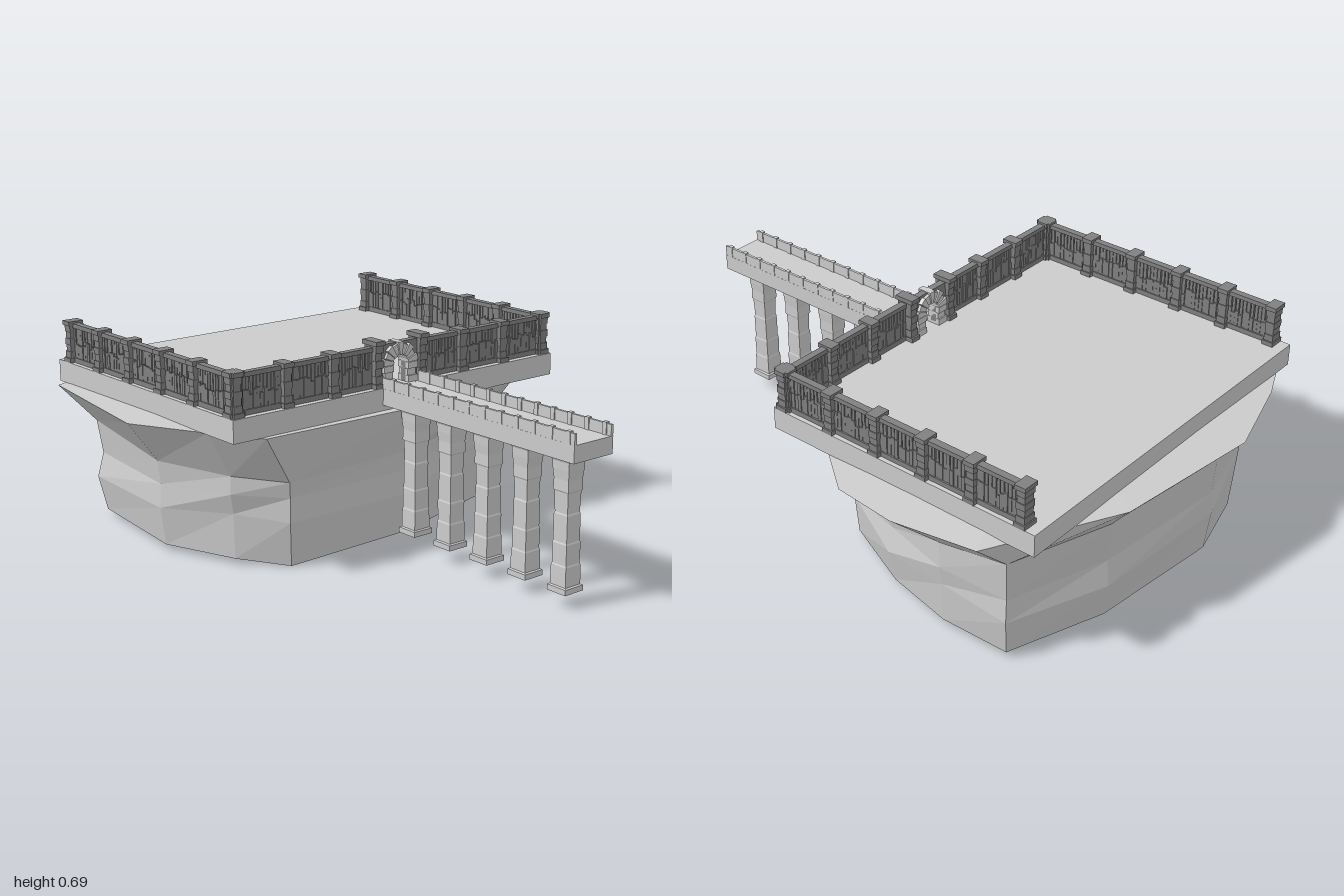
import * as THREE from 'three';

const stone = new THREE.MeshStandardMaterial({ color: 0xcccccc, flatShading: true });
const darkStone = new THREE.MeshStandardMaterial({ color: 0x808080, flatShading: true });

let seed = 7;
const rand = () => (seed = (seed * 16807) % 2147483647) / 2147483647;
const vary = (a) => (rand() - 0.5) * 2 * a;

function add(parent, geometry, material, name, x = 0, y = 0, z = 0) {
  const mesh = new THREE.Mesh(geometry, material);
  mesh.name = name;
  mesh.position.set(x, y, z);
  parent.add(mesh);
  return mesh;
}

// box given by its centre in x and z and its bottom and top in y
const block = (parent, material, name, x, z, y0, y1, w, d) =>
  add(parent, new THREE.BoxGeometry(w, y1 - y0, d), material, name, x, (y0 + y1) / 2, z);

// Faceted cliff: each column is rim x, z, then waist x, z, then waist height and foot height
function makeRock() {
  const columns = [
    [-0.57, 0.17, -0.45, 0.125, 0.285, 0.0], [0.06, 0.185, 0.04, 0.13, 0.3, 0.012],
    [0.52, 0.12, 0.48, 0.02, 0.31, 0.02], [0.78, -0.22, 0.6, -0.25, 0.3, 0.02],
    [0.8, -0.44, 0.655, -0.5, 0.33, 0.022], [0.75, -0.72, 0.65, -0.75, 0.37, 0.022],
    [0.32, -0.94, 0.3, -0.865, 0.37, 0.015], [-0.2, -1.0, -0.2, -0.91, 0.37, 0.01],
    [-0.5, -0.91, -0.46, -0.84, 0.36, 0.012], [-0.72, -0.81, -0.63, -0.72, 0.34, 0.02],
    [-0.8, -0.25, -0.68, -0.27, 0.31, 0.02], [-0.67, 0.0, -0.58, -0.01, 0.3, 0.018],
  ];
  const cz = -0.39;
  const scaled = (c, s, y) => [c[2] * s, y, cz + (c[3] - cz) * s];
  const wobble = [0, 0.0, 0.01, -0.01, 0.015, 0, -0.01, 0, 0.01, -0.01, 0, 0.02];
  const rings = [
    columns.map((c) => scaled(c, 0.965, c[5])),
    columns.map((c, i) => scaled(c, 0.995 - wobble[i], 0.15 + wobble[i])),
    columns.map((c, i) => scaled(c, 0.985 + wobble[i], 0.23 + wobble[i] / 2)),
    columns.map((c) => scaled(c, 1, c[4])),
    columns.map((c) => [c[0], 0.46, c[1]]),
  ];
  const pos = [];
  const tri = (...points) => points.forEach((p) => pos.push(...p));
  const n = columns.length;
  for (let i = 0; i < n; i++) {
    const j = (i + 1) % n;
    for (let r = 0; r < rings.length - 1; r++) {
      const lo = rings[r], hi = rings[r + 1];
      tri(lo[i], lo[j], hi[j]);
      tri(lo[i], hi[j], hi[i]);
    }
    tri([0, 0.5, cz], rings[4][i], rings[4][j]);
    tri([0, 0.012, cz], rings[0][j], rings[0][i]);
  }
  const geometry = new THREE.BufferGeometry();
  geometry.setAttribute('position', new THREE.Float32BufferAttribute(pos, 3));
  geometry.computeVertexNormals();
  return geometry;
}

// Post of stacked stones with base and cap; w runs along the fence, d across it
function makePost(w, d, top) {
  const post = new THREE.Group();
  post.name = 'fencePost';
  block(post, darkStone, 'postBase', 0, 0, 0.535, 0.55, w, d);
  const courses = 5, h = (top - 0.565) / courses;
  for (let i = 0; i < courses; i++) {
    const s = i % 2 ? 0.72 : 0.82;
    block(post, darkStone, 'postStone', 0, 0, 0.55 + i * h, 0.55 + (i + 1) * h, w * s, d * s);
  }
  block(post, darkStone, 'postCap', 0, 0, top - 0.015, top, w, d);
  return post;
}

// Panel along x: rails with two rows of uneven upright stones
function makePanel(length) {
  const panel = new THREE.Group();
  panel.name = 'fencePanel';
  block(panel, darkStone, 'bottomRail', 0, 0, 0.535, 0.552, length, 0.022);
  block(panel, darkStone, 'topRail', 0, 0, 0.655, 0.67, length, 0.024);
  const count = Math.round(length / 0.014), step = length / count;
  for (let i = 0; i < count; i++) {
    const x = -length / 2 + (i + 0.5) * step;
    const split = 0.605 + vary(0.012);
    block(panel, darkStone, 'lowerSlat', x, vary(0.002), 0.55, split, step * 0.94, 0.014);
    block(panel, darkStone, 'upperSlat', x, vary(0.002), split + 0.002, 0.657, step * (0.8 + vary(0.1)), 0.012);
  }
  return panel;
}

// Posts at the given stations along x, panels between neighbours
function makeFence(stations, name) {
  const fence = new THREE.Group();
  fence.name = name;
  stations.forEach((x, i) => {
    const post = makePost(0.04, 0.056, 0.677);
    post.position.x = x;
    fence.add(post);
    if (i === 0) return;
    const panel = makePanel(x - stations[i - 1] - 0.028);
    panel.position.x = (x + stations[i - 1]) / 2;
    fence.add(panel);
  });
  return fence;
}

// Arched gateway with wedge stones, jambs and a backing wall
function makeGate() {
  const gate = new THREE.Group();
  gate.name = 'gate';
  const inner = 0.031, outer = 0.07, spring = 0.602;

  const wall = new THREE.Shape();
  wall.moveTo(-0.08, 0.535).lineTo(-inner, 0.535).lineTo(-inner, spring);
  wall.absarc(0, spring, inner, Math.PI, 0, true);
  wall.lineTo(inner, 0.535).lineTo(0.08, 0.535).lineTo(0.08, 0.672).lineTo(-0.08, 0.672);
  add(gate, new THREE.ExtrudeGeometry(wall, { depth: 0.024, bevelEnabled: false, curveSegments: 10 }),
    darkStone, 'gateWall', 0, 0, -0.012);

  const wedges = 9;
  for (let i = 0; i < wedges; i++) {
    const a = (i / wedges) * Math.PI + 0.012, b = ((i + 1) / wedges) * Math.PI - 0.012;
    const r = outer + (i % 2 ? -0.004 : 0.003), depth = i % 2 ? 0.044 : 0.052;
    const s = new THREE.Shape();
    s.moveTo(inner * Math.cos(a), inner * Math.sin(a)).lineTo(r * Math.cos(a), r * Math.sin(a));
    s.lineTo(r * Math.cos(b), r * Math.sin(b)).lineTo(inner * Math.cos(b), inner * Math.sin(b));
    add(gate, new THREE.ExtrudeGeometry(s, { depth, bevelEnabled: false }), stone, 'archStone', 0, spring, -depth / 2);
  }
  for (const side of [-1, 1]) {
    for (let i = 0; i < 3; i++) {
      const w = i % 2 ? 0.034 : 0.041, y = 0.535 + i * 0.0223;
      block(gate, stone, 'jambStone', side * (inner + w / 2), 0, y, y + 0.0215, w, i % 2 ? 0.044 : 0.052);
    }
    const post = makePost(0.038, 0.07, 0.69);
    post.position.x = side * 0.094;
    gate.add(post);
  }
  return gate;
}

// Square pier built as a four-sided stack of uneven courses
function makePier() {
  const profile = [
    [0, 0.047], [0.038, 0.047], [0.038, 0.065], [0.032, 0.068], [0.031, 0.13], [0.029, 0.135],
    [0.03, 0.2], [0.028, 0.205], [0.028, 0.29], [0.026, 0.295], [0.028, 0.36], [0.031, 0.365],
    [0.03, 0.4], [0.033, 0.43], [0.034, 0.455], [0.04, 0.465], [0.04, 0.482], [0, 0.482],
  ].map(([r, y]) => new THREE.Vector2(r * Math.SQRT2, y));
  return new THREE.LatheGeometry(profile, 4, Math.PI / 4);
}

// Walkway on piers, with low parapets carrying small stones
function makeBridge() {
  const bridge = new THREE.Group();
  bridge.name = 'bridge';
  const cx = -0.012, z0 = 0.15, z1 = 0.995, mid = (z0 + z1) / 2;
  block(bridge, stone, 'bridgeDeck', cx, mid, 0.48, 0.535, 0.162, z1 - z0);
  for (const side of [-1, 1]) {
    block(bridge, stone, 'parapet', cx + side * 0.076, mid, 0.535, 0.57, 0.009, z1 - z0);
    for (let i = 0; i < 12; i++)
      block(bridge, stone, 'parapetStone', cx + side * 0.0755, z0 + 0.05 + i * 0.07, 0.535, 0.574, 0.014, 0.016);
  }
  for (let i = 0; i < 5; i++) add(bridge, makePier(), stone, 'bridgePier', -0.008, 0, 0.895 - i * 0.169);
  return bridge;
}

export function createModel() {
  const model = new THREE.Group();
  model.name = 'cliffTerrace';
  add(model, makeRock(), stone, 'rock');
  block(model, stone, 'terraceSlab', -0.007, -0.353, 0.46, 0.535, 1.35, 1.015);

  // front fence on both sides of the gate
  const frontZ = 0.122;
  const frontLeft = makeFence([0.265, 0.45, 0.642], 'frontLeftFence');
  const frontRight = makeFence([-0.655, -0.465, -0.28], 'frontRightFence');
  for (const fence of [frontLeft, frontRight]) {
    fence.position.z = frontZ;
    model.add(fence);
  }
  for (const x of [-0.193, 0.175]) {
    const panel = makePanel(0.15);
    panel.position.set(x, 0, frontZ);
    model.add(panel);
  }
  const gate = makeGate();
  gate.position.set(-0.008, 0, 0.118);
  model.add(gate);

  // side fences run from the front corners to the back
  for (const [x, name] of [[0.642, 'leftFence'], [-0.655, 'rightFence']]) {
    const fence = makeFence([-0.122, 0.072, 0.255, 0.44, 0.622, 0.805], name);
    fence.rotation.y = Math.PI / 2;
    fence.position.x = x;
    model.add(fence);
  }

  model.add(makeBridge());
  return model;
}
